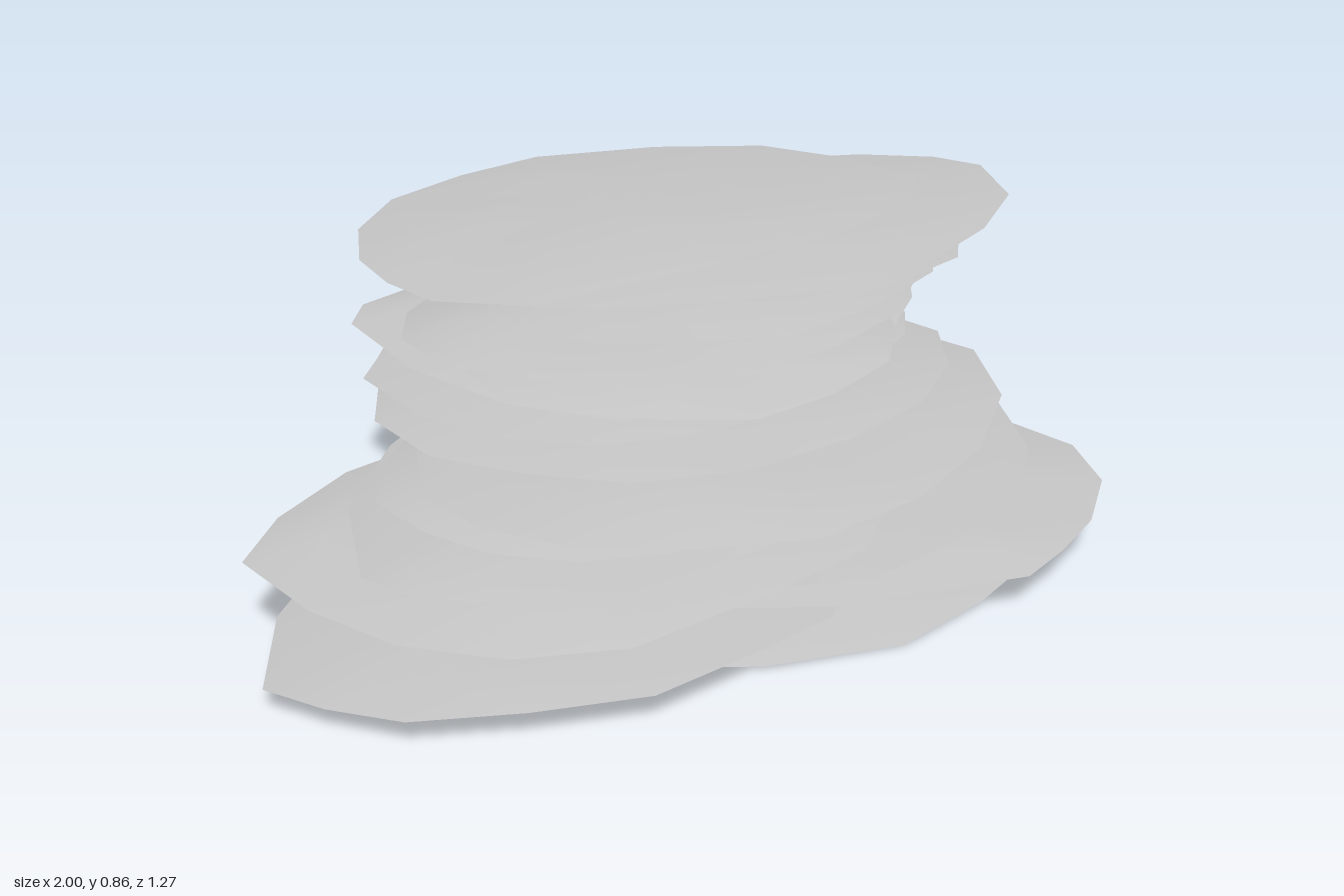
import * as THREE from 'three';

const SIDES = 4; // rim points per quadrant

// Small seeded generator for the chipped rims
function seeded(seed) {
  let s = seed * 7919 + 13;
  return () => (s = (s * 16807) % 2147483647) / 2147483647;
}

// Rim running through four tips: +x, +z, -x, -z; each tip is [x, y, z]
function rimPoints(tips, rand) {
  const rim = [];
  for (let q = 0; q < 4; q++) {
    const p = tips[q], n = tips[(q + 1) % 4];
    for (let i = 0; i < SIDES; i++) {
      const a = (i / SIDES) * Math.PI / 2, u = 1 - Math.cos(a), v = Math.sin(a);
      const [kx, kz] = q % 2 ? [v, u] : [u, v];
      const chip = i ? 1.01 - 0.06 * rand() : 1;
      rim.push(new THREE.Vector3(
        (p[0] + (n[0] - p[0]) * kx) * chip,
        p[1] + (n[1] - p[1]) * i / SIDES + (i ? (rand() - 0.5) * 0.012 : 0),
        (p[2] + (n[2] - p[2]) * kz) * chip));
    }
  }
  return rim;
}

// One smooth face of a slab: concentric rings swelling from the rim to the middle
function cap(rim, middle, bulge, up, rand) {
  const n = rim.length, pos = [], index = [];
  const rings = [[1, 0], [0.78, 0.5], [0.45, 0.9]];
  for (const [r, h] of rings) {
    for (const p of rim) {
      const q = middle.clone().lerp(p, r);
      q.y += bulge * h * (r < 1 ? 0.75 + 0.5 * rand() : 1);
      pos.push(q.x, q.y, q.z);
    }
  }
  pos.push(middle.x, middle.y + bulge, middle.z);
  const tri = (a, b, c) => (up ? index.push(a, c, b) : index.push(a, b, c));
  for (let i = 0; i < n; i++) {
    const j = (i + 1) % n;
    for (let k = 0; k < 2; k++) {
      const a = k * n + i, b = k * n + j;
      tri(a, b, b + n);
      tri(a, b + n, a + n);
    }
    tri(2 * n + i, 2 * n + j, 3 * n);
  }
  const g = new THREE.BufferGeometry();
  g.setAttribute('position', new THREE.Float32BufferAttribute(pos, 3));
  g.setIndex(index);
  g.computeVertexNormals();
  return g;
}

export function createModel() {
  const model = new THREE.Group();
  model.name = 'stackedSlabRock';
  const stone = new THREE.MeshStandardMaterial({ color: 0xc4c4c4 });
  stone.name = 'grey stone';
  let count = 0;

  // Tips: right, front, left, back; then swell above and below the rim
  function slab(right, front, left, back, above = 0.04, below = 0.025) {
    const rand = seeded(++count);
    const tips = [right, front, left, back];
    const rim = rimPoints(tips, rand);
    const middle = rim.reduce((s, p) => s.add(p), new THREE.Vector3()).divideScalar(rim.length);
    const group = new THREE.Group();
    group.name = 'slab' + count;
    const top = new THREE.Mesh(cap(rim, middle, above, true, rand), stone);
    const bottom = new THREE.Mesh(cap(rim, middle, -below, false, rand), stone);
    top.name = 'slabTop';
    bottom.name = 'slabUnderside';
    group.add(top, bottom);
    model.add(group);
  }

  // Wide base
  slab([0.97, 0.02, -0.14], [0.3, 0.003, 0.55], [-0.52, 0.02, 0.1], [0.22, 0.036, -0.64], 0.045, 0.01);
  slab([0.35, 0.07, 0.15], [-0.3, 0.08, 0.62], [-1.0, 0.065, 0.27], [-0.1, 0.07, -0.42]);
  slab([1.0, 0.12, 0.1], [0.6, 0.1, 0.55], [-0.57, 0.13, 0], [0.25, 0.115, -0.54]);
  slab([0.91, 0.165, -0.1], [0.25, 0.15, 0.5], [-0.54, 0.16, -0.1], [0.1, 0.175, -0.54], 0.025);
  slab([0.48, 0.22, 0.1], [-0.35, 0.203, 0.62], [-0.97, 0.215, 0.02], [0, 0.24, -0.38], 0.045, 0.02);
  slab([0.71, 0.27, -0.05], [-0.3, 0.27, 0.53], [-0.78, 0.26, 0.25], [-0.1, 0.255, -0.54]);
  slab([0.52, 0.3, 0.1], [-0.2, 0.3, 0.47], [-0.69, 0.31, 0.05], [-0.1, 0.29, -0.37], 0.045, 0.03);

  // Middle
  slab([0.77, 0.37, 0], [0.05, 0.36, 0.63], [-0.62, 0.36, 0.15], [0.1, 0.37, -0.36]);
  slab([0.7, 0.41, -0.05], [0, 0.41, 0.4], [-0.64, 0.42, -0.1], [-0.1, 0.405, -0.53], 0.035, 0.03);
  slab([0.57, 0.45, -0.1], [-0.05, 0.46, 0.3], [-0.62, 0.45, -0.25], [-0.2, 0.455, -0.54], 0.035, 0.03);
  slab([0.58, 0.5, 0], [0, 0.495, 0.3], [-0.6, 0.515, -0.4], [-0.05, 0.525, -0.61]);
  slab([0.64, 0.555, -0.1], [0.1, 0.535, 0.25], [-0.32, 0.54, -0.1], [0.1, 0.505, -0.36]);
  slab([0.5, 0.57, 0.05], [0, 0.55, 0.45], [-0.5, 0.59, 0.05], [0, 0.56, -0.32], 0.045);

  // Upper stack
  slab([0.6, 0.64, -0.05], [0, 0.635, 0.42], [-0.6, 0.645, 0], [0, 0.605, -0.41], 0.04, 0.035);
  slab([0.69, 0.7, -0.15], [0.1, 0.69, 0.39], [-0.41, 0.68, 0], [0.15, 0.66, -0.48], 0.04, 0.035);
  slab([0.69, 0.755, 0], [0.1, 0.755, 0.43], [-0.44, 0.73, -0.05], [0.25, 0.71, -0.42], 0.035, 0.04);
  slab([0.78, 0.81, -0.04], [0.2, 0.795, 0.44], [-0.51, 0.79, 0.1], [0.1, 0.81, -0.3], 0.02, 0.04);
  slab([0.56, 0.84, 0.05], [-0.42, 0.838, 0.36], [-0.68, 0.84, 0.02], [-0.15, 0.84, -0.41], 0.02, 0.035);

  return model;
}
